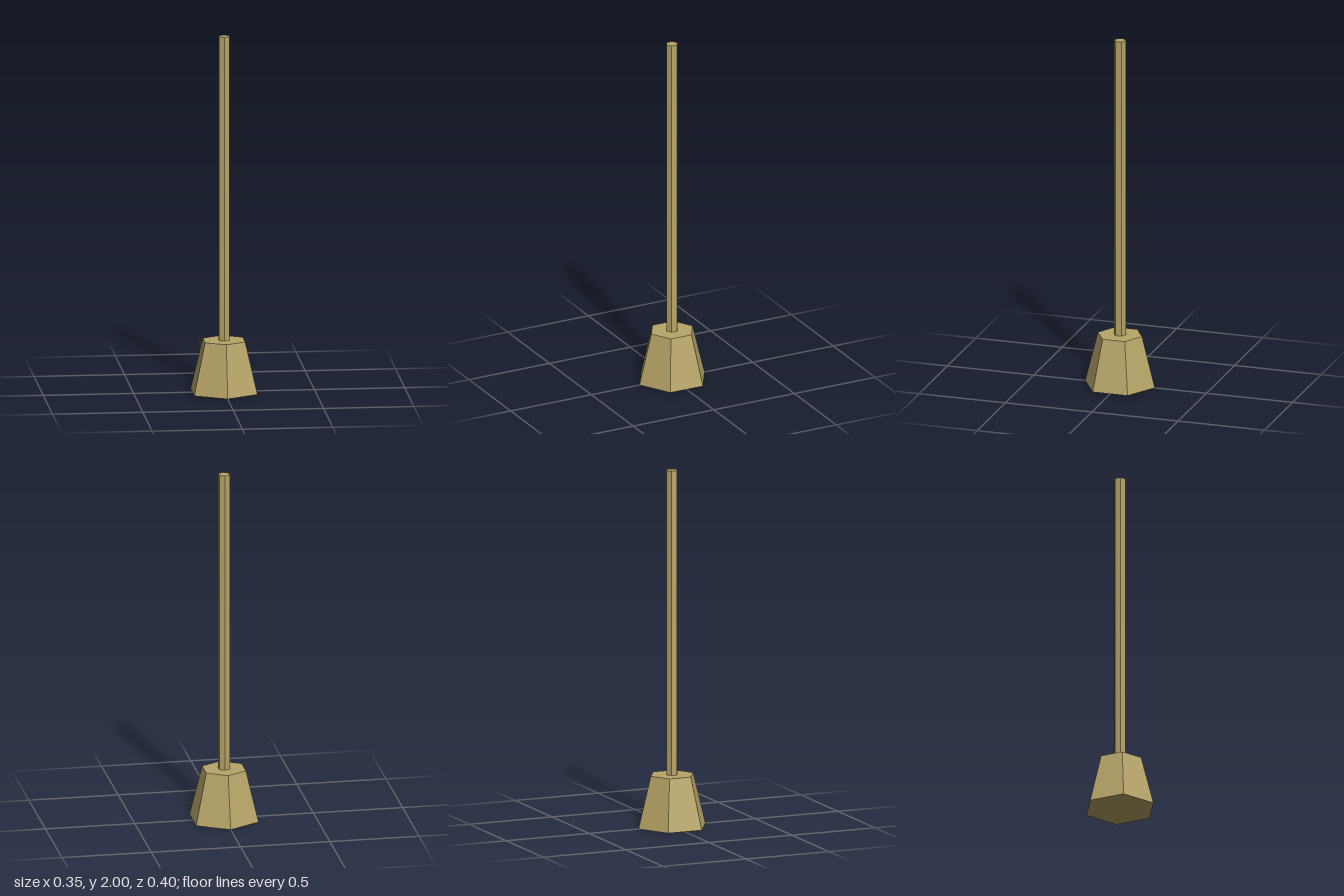
import * as THREE from 'three';

// Upright six-sided prism with a corner facing the front
function hexPrism(name, topRadius, bottomRadius, y0, y1, material) {
  const geometry = new THREE.CylinderGeometry(topRadius, bottomRadius, y1 - y0, 6);
  const mesh = new THREE.Mesh(geometry, material);
  mesh.name = name;
  mesh.position.y = (y0 + y1) / 2;
  return mesh;
}

export function createModel() {
  const group = new THREE.Group();
  group.name = 'postOnBase';
  const material = new THREE.MeshStandardMaterial({ color: 0xb8a567, flatShading: true });

  // Tapered foot and the slim post standing on it
  group.add(hexPrism('base', 0.128, 0.202, 0, 0.29, material));
  group.add(hexPrism('post', 0.034, 0.034, 0.29, 2, material));
  return group;
}
